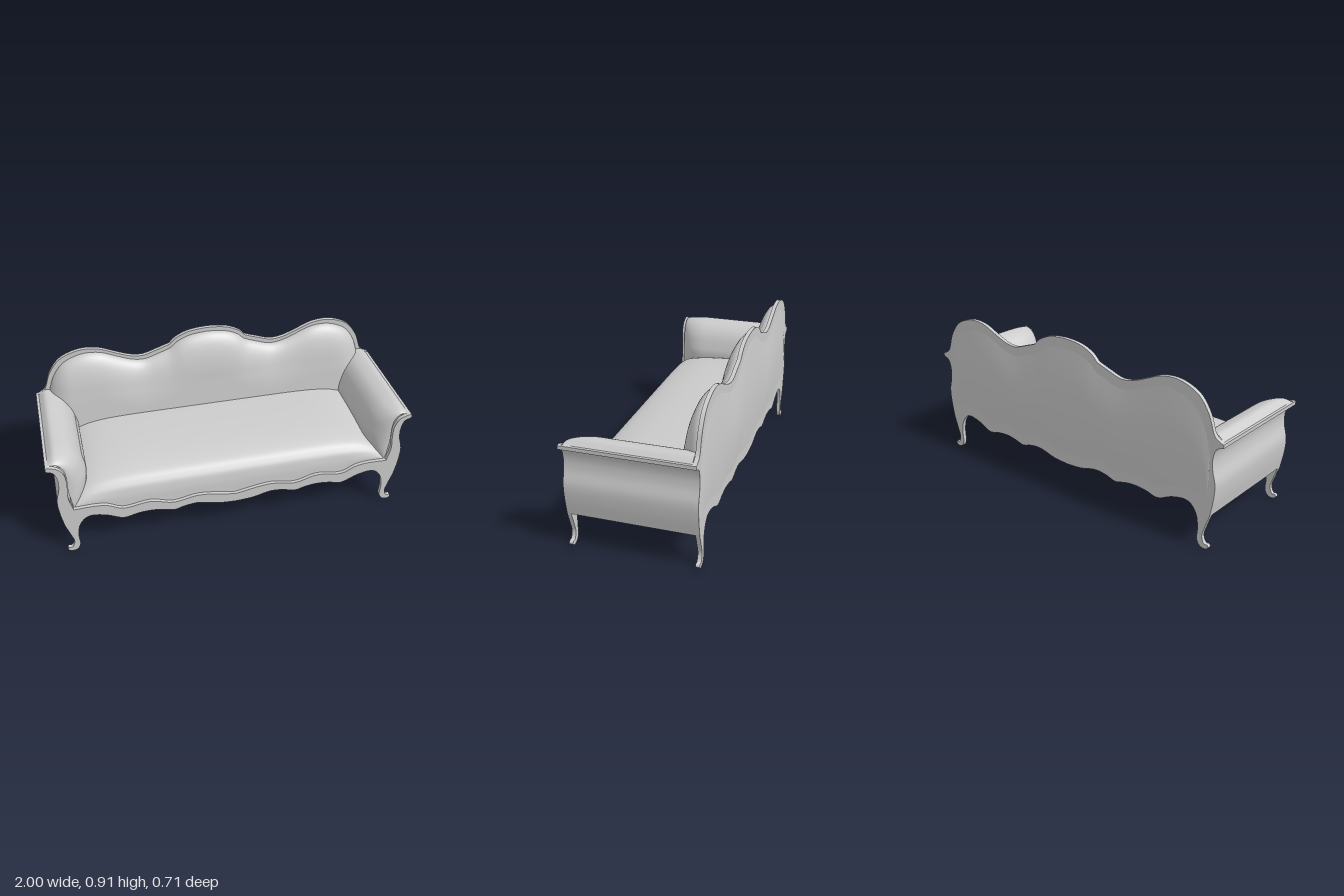
import * as THREE from 'three';
import { toCreasedNormals } from 'three/addons/utils/BufferGeometryUtils.js';

const grey = new THREE.MeshStandardMaterial({ color: 0xcccccc, side: THREE.DoubleSide });

// Right-half outlines as [x, y]
const APRON_BOTTOM = [[0, .17], [.1, .178], [.206, .203], [.28, .197], [.345, .18], [.41, .195], [.473, .203], [.55, .197],
  [.623, .182], [.714, .22], [.794, .235], [.83, .222], [.864, .176], [.876, .1], [.874, .035], [.895, .004], [.93, 0], [.944, .012]];
const FOOT_TO_SIDE = [[.944, .012], [.938, .025], [.918, .026], [.903, .065], [.917, .118], [.942, .19]];
const SIDE = [[.942, .19], [.96, .29], [.964, .37], [.946, .45], [.945, .51], [.962, .56], [1, .577]];
const ARM_INNER = [[.985, .6], [.935, .578], [.907, .53], [.902, .46], [.905, .38], [.885, .294]];
const APRON_TOP = [[.885, .294], [.76, .296], [.7, .285], [.623, .25], [.473, .267], [.345, .235], [.206, .257], [0, .225]];
const BACK_SIDE = [[.985, .6], [.95, .625], [.91, .73], [.85, .81], [.767, .85], [.7, .86], [.623, .85], [.527, .81],
  [.447, .78], [.377, .773], [.297, .797], [.222, .823]];
const BACK_CREST = [[.222, .823], [.19, .855], [.126, .887], [.06, .9], [0, .904]];
// Arm padding sections: full in the middle, slim where it meets the front frame
const ARM_FULL = [[.985, .597], [.95, .626], [.91, .622], [.862, .6], [.82, .55], [.795, .48], [.786, .43], [.8, .35], [.86, .26], [.935, .192]];
const ARM_SLIM = [[.985, .597], [.955, .597], [.935, .588], [.912, .56], [.902, .52], [.9, .46], [.9, .41], [.89, .34], [.885, .28], [.935, .192]];

function spline(points) {
  return new THREE.CatmullRomCurve3(points.map(([x, y]) => new THREE.Vector3(x, y, 0)), false, 'centripetal');
}

// Smooth samples through a few points
function curve(points) {
  return spline(points).getPoints((points.length - 1) * 5).map(p => new THREE.Vector2(p.x, p.y));
}

// Height of a curve at a given |x|
function heightOf(samples) {
  const s = [...samples].sort((a, b) => a.x - b.x);
  return x => {
    const ax = Math.abs(x);
    const i = s.findIndex(p => p.x >= ax);
    if (i < 0) return s[s.length - 1].y;
    if (i === 0) return s[0].y;
    const a = s[i - 1], b = s[i];
    return a.y + (b.y - a.y) * (ax - a.x) / (b.x - a.x || 1);
  };
}

function mirrored(half) {
  const left = half.filter(p => p.x > 1e-4).reverse().map(p => new THREE.Vector2(-p.x, p.y));
  return half.concat(left);
}

function plate(name, points, z, depth) {
  const clean = points.filter((p, i) => i === 0 || p.distanceTo(points[i - 1]) > 1e-5);
  const geo = new THREE.ExtrudeGeometry(new THREE.Shape(clean), { depth, bevelEnabled: false });
  geo.translate(0, 0, z);
  const mesh = new THREE.Mesh(toCreasedNormals(geo, .6), grey);
  mesh.name = name;
  return mesh;
}

// Smooth grid surface from a rule f(u, v) -> [x, y, z]
function surface(name, nu, nv, f) {
  const pos = [], index = [];
  for (let j = 0; j <= nv; j++) for (let i = 0; i <= nu; i++) pos.push(...f(i / nu, j / nv));
  for (let j = 0; j < nv; j++) for (let i = 0; i < nu; i++) {
    const a = j * (nu + 1) + i, b = a + 1, c = a + nu + 1, d = c + 1;
    index.push(a, b, d, a, d, c);
  }
  const geo = new THREE.BufferGeometry();
  geo.setAttribute('position', new THREE.Float32BufferAttribute(pos, 3));
  geo.setIndex(index);
  geo.computeVertexNormals();
  const mesh = new THREE.Mesh(geo, grey);
  mesh.name = name;
  return mesh;
}

// Rounded rise from 0 at an edge to 1 at distance w
const roll = (d, w) => Math.sqrt(Math.max(0, 1 - (1 - Math.min(Math.max(d / w, 0), 1)) ** 2));
// Even parameter 0..1 to -1..1, denser at the ends
const spread = u => Math.sin((u - .5) * Math.PI);

export function createModel() {
  const sofa = new THREE.Group();
  sofa.name = 'sofa';

  // Front and back frames, each with legs and wavy apron
  const lower = [...curve(APRON_BOTTOM), ...curve(FOOT_TO_SIDE), ...curve(SIDE), new THREE.Vector2(1, .597)];
  const apronTop = curve(APRON_TOP), backSide = curve(BACK_SIDE), crest = curve(BACK_CREST);
  sofa.add(plate('frontFrame', mirrored([...lower, ...curve(ARM_INNER), ...apronTop]), .333, .022));
  sofa.add(plate('backFrame', mirrored([...lower, ...backSide, ...crest]), -.337, .022));

  // Back cushion and shallow rear padding
  const backTop = heightOf([...backSide, ...crest]);
  const bottomY = heightOf(curve(APRON_BOTTOM.slice(0, 11)));
  sofa.add(surface('backCushion', 96, 28, (u, v) => {
    const x = .937 * spread(u);
    const top = backTop(x * 1.02) - .024;
    const y = .38 + (top - .38) * Math.sin(v * Math.PI / 2);
    const depth = .098 + Math.max(0, .62 - y) * .08;
    return [x, y, -.316 + depth * roll(top - y, .27) * roll(.937 - Math.abs(x), .14)];
  }));
  sofa.add(surface('rearPadding', 80, 24, (u, v) => {
    const x = -.925 * spread(u);
    const low = bottomY(x) + .055, top = backTop(x * 1.03) - .05;
    const t = (spread(v) + 1) / 2;
    return [x, low + (top - low) * t, -.3365 - .0175 * Math.sin(t * Math.PI) * roll(.925 - Math.abs(x), .6)];
  }));

  // Domed seat sloping down to the apron at the front and ends
  const rail = heightOf(apronTop);
  const seatProfile = new THREE.CatmullRomCurve3([[.336, 0], [.33, .3], [.31, .56], [.26, .77], [.13, .92], [-.06, .99], [-.314, 1]]
    .map(([z, h]) => new THREE.Vector3(0, h, z)), false, 'centripetal');
  sofa.add(surface('seat', 80, 36, (u, v) => {
    const x = .895 * spread(u);
    const p = seatProfile.getPoint(v);
    const base = THREE.MathUtils.lerp(rail(x) - .005, .275, Math.min(1, p.y * 2.2));
    const end = Math.sqrt(Math.max(0, 1 - Math.pow(Math.abs(x) / .895, 7.5)));
    return [x, base + (.455 - base) * p.y * end, p.z];
  }));

  // Arms: outer panel with lip, and padded inner roll closing at the panel's foot
  const sidePts = curve(SIDE);
  const full = spline(ARM_FULL), slim = spline(ARM_SLIM);
  const strip = [...sidePts, new THREE.Vector2(1, .597), new THREE.Vector2(.96, .597),
    ...sidePts.slice(0, -4).reverse().map(p => new THREE.Vector2(p.x - .012, p.y))];
  for (const s of [1, -1]) {
    const arm = new THREE.Group();
    arm.name = s > 0 ? 'leftArm' : 'rightArm';
    arm.add(plate('armPanel', strip.map(p => new THREE.Vector2(s * p.x, p.y)), -.316, .65));
    arm.add(surface('armCushion', 40, 32, (u, v) => {
      const t = s > 0 ? u : 1 - u;
      const d = .65 * v * v;
      const p = slim.getPoint(t).lerp(full.getPoint(t), roll(d, .16));
      return [s * p.x, p.y, .336 - d];
    }));
    sofa.add(arm);
  }
  return sofa;
}
